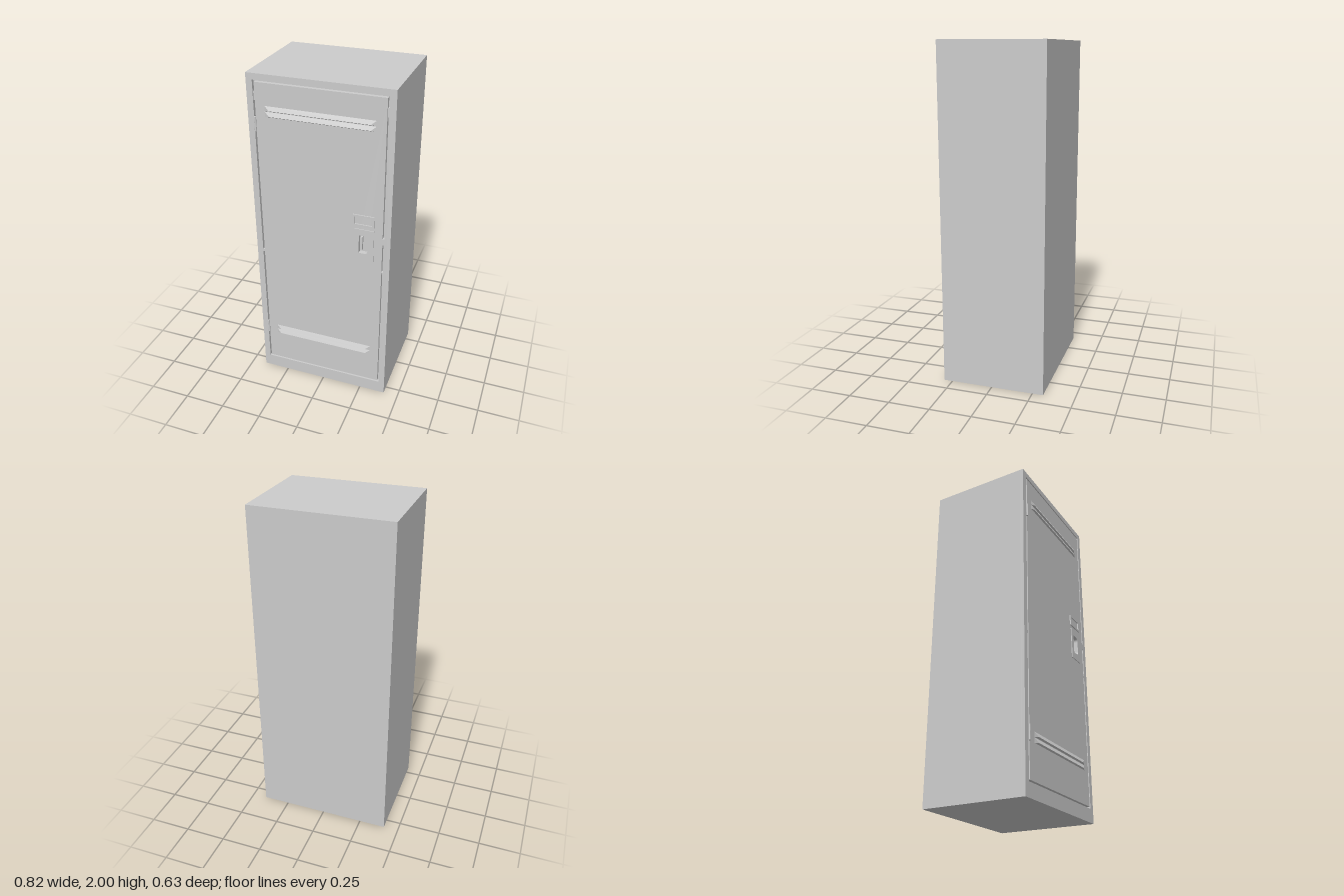
import * as THREE from 'three';

const FRONT = 0.302, BACK = -0.315, SKIN = 0.022;
const DOOR = { x0: -0.364, x1: 0.364, y0: 0.091, y1: 1.954 };
const mat = new THREE.MeshStandardMaterial({ color: 0xcccccc, flatShading: true });
const smooth = new THREE.MeshStandardMaterial({ color: 0xcccccc });

function add(parent, name, geometry, material = mat) {
  const mesh = new THREE.Mesh(geometry, material);
  mesh.name = name;
  parent.add(mesh);
  return mesh;
}

// box given by its limits
function box(parent, name, x0, x1, y0, y1, z0, z1) {
  const mesh = add(parent, name, new THREE.BoxGeometry(x1 - x0, y1 - y0, z1 - z0));
  mesh.position.set((x0 + x1) / 2, (y0 + y1) / 2, (z0 + z1) / 2);
  return mesh;
}

function rect(x0, x1, y0, y1, Type = THREE.Shape) {
  return new Type([[x0, y0], [x1, y0], [x1, y1], [x0, y1]].map(p => new THREE.Vector2(...p)));
}

// outline of the finger recess, straight on the left and rounded on the right
function recessPath() {
  const p = new THREE.Path();
  p.moveTo(0.228, 1.025);
  p.lineTo(0.262, 1.025);
  p.quadraticCurveTo(0.285, 1.025, 0.285, 1.05);
  p.lineTo(0.285, 1.115);
  p.quadraticCurveTo(0.285, 1.14, 0.262, 1.14);
  p.lineTo(0.228, 1.14);
  p.closePath();
  return p;
}

// plate with holes between two depths
function plate(parent, name, shape, holes, z0, z1) {
  shape.holes.push(...holes);
  const g = new THREE.ExtrudeGeometry(shape, { depth: z1 - z0, bevelEnabled: false, curveSegments: 6 });
  return add(parent, name, g.translate(0, 0, z0));
}

// louvre: slopes outward going down, with slanted ends
function louvre(parent, yTop) {
  const h = 0.029, w = 0.31, wf = 0.282, z = FRONT, zf = 0.312;
  const A = [-w, yTop, z], B = [w, yTop, z], C = [w, yTop - h, z], D = [-w, yTop - h, z];
  const E = [-wf, yTop - h + 0.006, zf], F = [wf, yTop - h + 0.006, zf];
  const tris = [A, E, F, A, F, B, D, C, F, D, F, E, A, D, E, B, F, C];
  const g = new THREE.BufferGeometry();
  g.setAttribute('position', new THREE.Float32BufferAttribute(tris.flat(), 3));
  g.computeVertexNormals();
  add(parent, 'louvre', g);
}

export function createModel() {
  const locker = new THREE.Group();
  locker.name = 'locker';

  // cabinet with a frame around the door
  const inner = FRONT - SKIN;
  box(locker, 'cabinet', -0.41, 0.41, 0, 2, BACK, inner);
  plate(locker, 'doorFrame', rect(-0.41, 0.41, 0, 2),
    [rect(-0.374, 0.374, 0.081, 1.964, THREE.Path)], inner, FRONT);

  // door, set in the frame with a narrow gap all round
  const door = new THREE.Group();
  door.name = 'door';
  locker.add(door);
  plate(door, 'doorPanel', rect(DOOR.x0, DOOR.x1, DOOR.y0, DOOR.y1), [recessPath()], inner, FRONT);

  // paired vents near the top and the bottom
  for (const top of [1.828, 0.355])
    for (const row of [0, 1]) louvre(door, top - row * 0.032);

  // handle plate around the finger recess
  plate(door, 'handlePlate', rect(0.2, 0.315, 0.98, 1.18), [recessPath()], FRONT, 0.307);
  box(door, 'handleGrip', 0.233, 0.246, 1.04, 1.125, inner, FRONT - 0.004);

  // card holder
  plate(door, 'cardHolder', rect(0.19, 0.315, 1.2, 1.27),
    [rect(0.203, 0.302, 1.212, 1.258, THREE.Path)], FRONT, 0.309);

  // hinges on the door's right edge
  for (const y of [1.72, 0.335]) {
    const hinge = add(locker, 'hinge', new THREE.CylinderGeometry(0.006, 0.006, 0.085, 12), smooth);
    hinge.position.set(-0.368, y, 0.305);
  }

  // shelf ends, latch and stops showing in the gap
  for (const s of [-1, 1]) {
    box(locker, 'shelfEnd', s * 0.369 - 0.005, s * 0.369 + 0.005, 0.903, 0.917, inner, FRONT - 0.001);
    box(locker, 'doorStop', s * 0.369 - 0.005, s * 0.369 + 0.005, 1.85, 1.9, inner, FRONT - 0.008);
  }
  box(locker, 'latch', 0.364, 0.374, 1.1, 1.14, inner, FRONT - 0.001);

  return locker;
}
